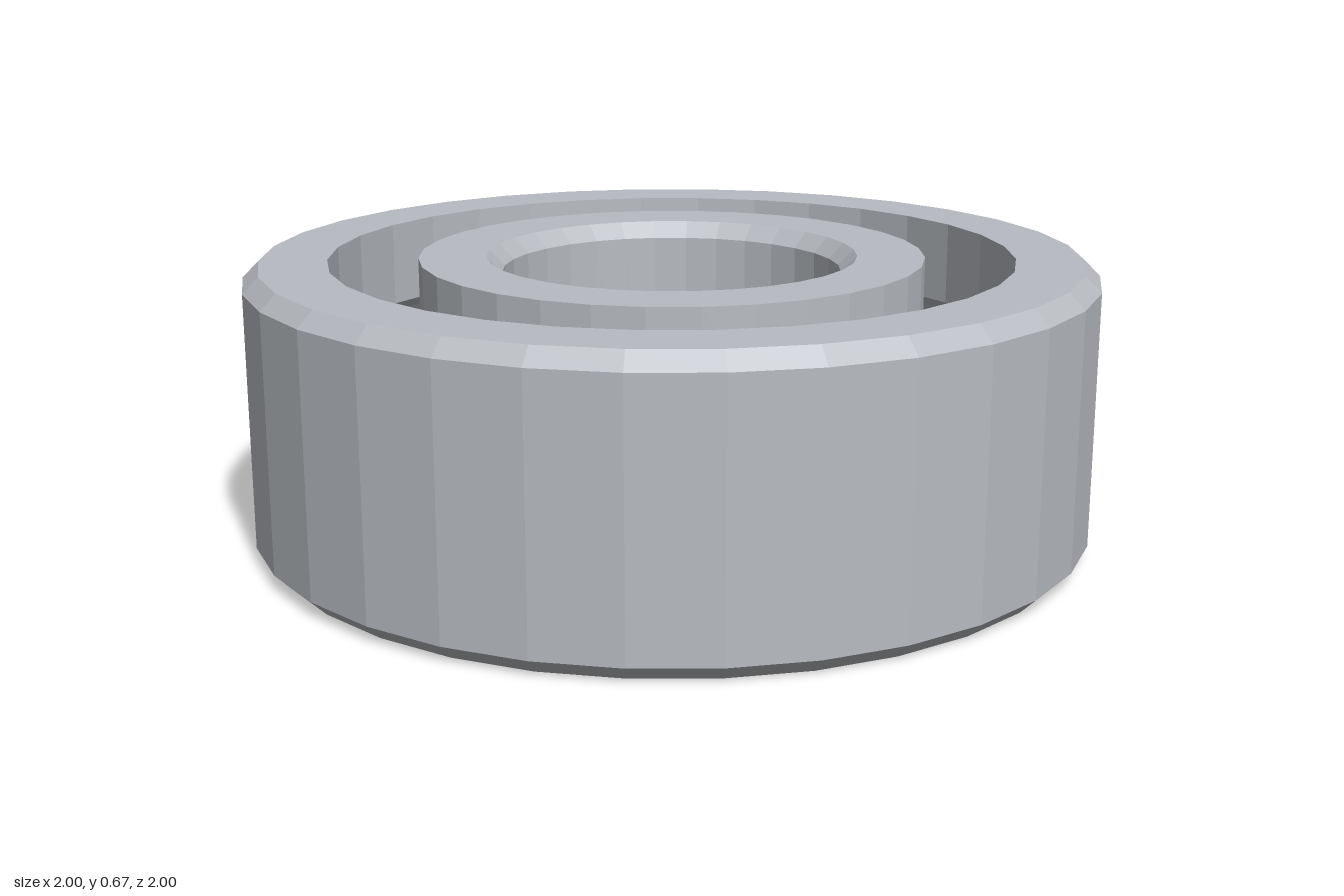
import * as THREE from 'three';

const SEGMENTS = 32;
const HEIGHT = 0.67;
const MID = HEIGHT / 2;
const CHAMFER = 0.037;
const PITCH = 0.7;      // radius of the circle of ball centres
const BALL = 0.166;
const GROOVE = 0.168;
const BALL_COUNT = 9;

// Arc of the ball groove, from the wall radius round to the same radius.
// side = 1 cuts into the outer ring (top to bottom), -1 into the inner ring (bottom to top).
function groove(wall, side) {
  const half = Math.acos(Math.abs(wall - PITCH) / GROOVE);
  const steps = 8;
  const points = [];
  for (let i = 0; i <= steps; i++) {
    const a = half * (1 - (2 * i) / steps);
    points.push([PITCH + side * GROOVE * Math.cos(a), MID + side * GROOVE * Math.sin(a)]);
  }
  return points;
}

// Closed ring turned from a profile of [radius, height] pairs.
function ring(name, profile, material) {
  const points = [...profile, profile[0]].map(([r, y]) => new THREE.Vector2(r, y));
  const mesh = new THREE.Mesh(new THREE.LatheGeometry(points, SEGMENTS), material);
  mesh.name = name;
  return mesh;
}

export function createModel() {
  const group = new THREE.Group();
  group.name = 'ballBearing';

  const steel = new THREE.MeshStandardMaterial({ color: 0xb8bcc2 });
  steel.name = 'steel';
  steel.flatShading = true;

  // Outer ring, chamfered outside and grooved inside
  group.add(ring('outerRing', [
    [1 - CHAMFER, 0], [1, CHAMFER], [1, HEIGHT - CHAMFER], [1 - CHAMFER, HEIGHT],
    [0.805, HEIGHT], ...groove(0.805, 1), [0.805, 0],
  ], steel));

  // Inner ring, grooved outside and chamfered at the bore
  group.add(ring('innerRing', [
    [0.595, 0], ...groove(0.595, -1), [0.595, HEIGHT],
    [0.4 + CHAMFER, HEIGHT], [0.4, HEIGHT - CHAMFER], [0.4, CHAMFER], [0.4 + CHAMFER, 0],
  ], steel));

  // Balls spaced evenly between the rings
  const balls = new THREE.Group();
  balls.name = 'balls';
  const ballGeometry = new THREE.IcosahedronGeometry(BALL, 3);
  for (let i = 0; i < BALL_COUNT; i++) {
    const a = (i / BALL_COUNT) * Math.PI * 2;
    const ball = new THREE.Mesh(ballGeometry, steel);
    ball.name = 'ball';
    ball.position.set(PITCH * Math.cos(a), MID, PITCH * Math.sin(a));
    balls.add(ball);
  }
  group.add(balls);

  return group;
}
